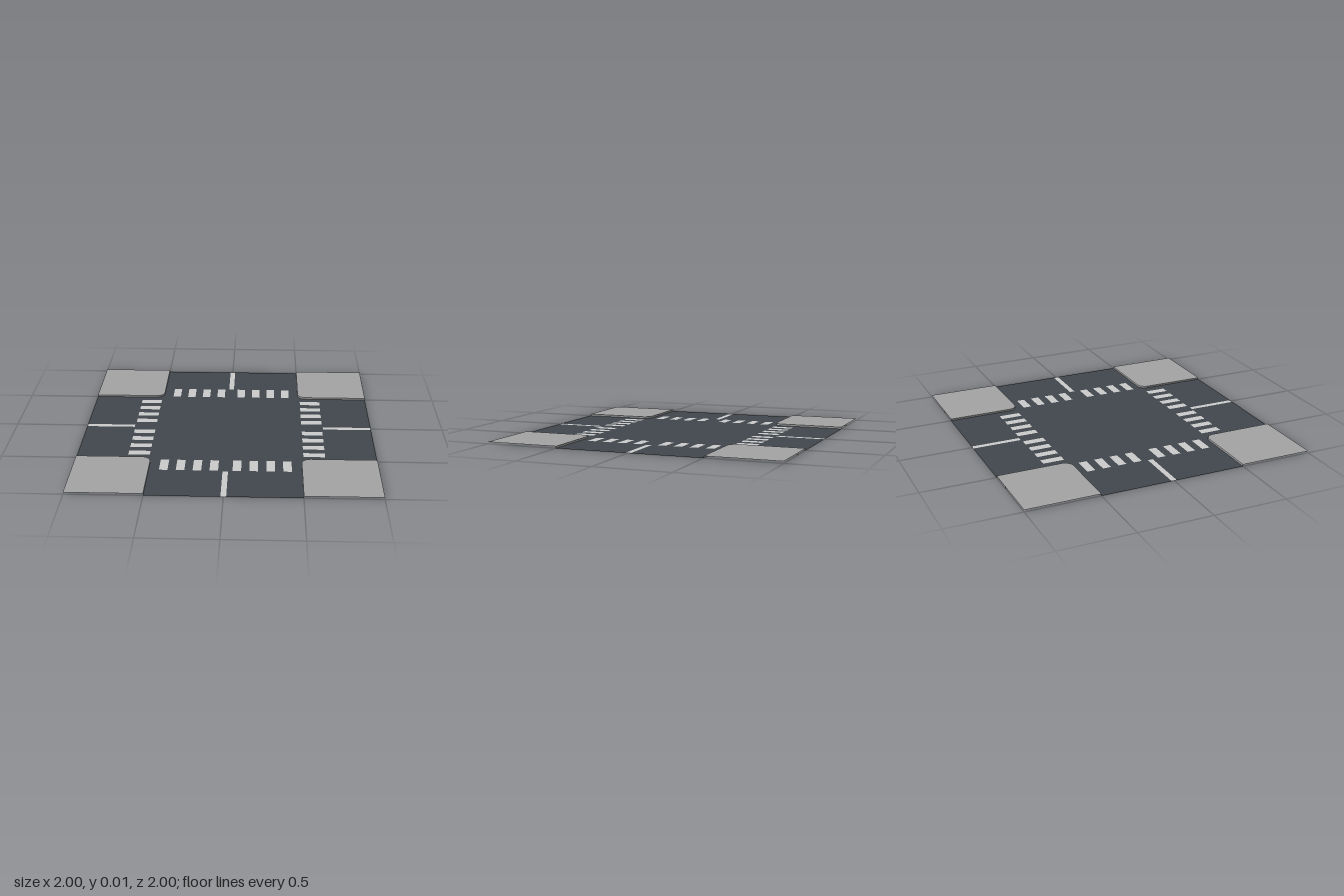
import * as THREE from 'three';

const HALF = 0.5;      // half width of the road
const R = 0.06;        // corner radius of the pavement
const H = 0.013;       // kerb height
const LINE = 0.018;    // half width of the centre lines
const STOP = 0.664;    // where the centre lines begin

const material = (color) => new THREE.MeshStandardMaterial({ color, side: THREE.DoubleSide });

// Pavement edge in one quadrant, from the end of one arm to the end of the next
function kerbPoints() {
  const points = [new THREE.Vector2(HALF, 1)];
  const segments = 8;
  for (let i = 0; i <= segments; i++) {
    const a = Math.PI + (i / segments) * Math.PI / 2;
    points.push(new THREE.Vector2(HALF + R + R * Math.cos(a), HALF + R + R * Math.sin(a)));
  }
  points.push(new THREE.Vector2(1, HALF));
  return points;
}

function flat(points, y) {
  return new THREE.ShapeGeometry(new THREE.Shape(points)).rotateX(-Math.PI / 2).translate(0, y, 0);
}

function kerbGeometry(points) {
  const n = points.length;
  const geometry = new THREE.PlaneGeometry(1, H, n - 1, 1);
  const pos = geometry.attributes.position;
  for (let i = 0; i < pos.count; i++) {
    const p = points[i % n];
    pos.setXYZ(i, p.x, i < n ? H : 0, -p.y);
  }
  geometry.computeVertexNormals();
  return geometry;
}

export function createModel() {
  const model = new THREE.Group();
  model.name = 'roadCrossing';
  const asphalt = material(0x40474c);
  const paving = material(0xa4a4a4);
  const paint = material(0xcccccc);
  const add = (parent, name, geometry, mat) => {
    const mesh = new THREE.Mesh(geometry, mat);
    mesh.name = name;
    parent.add(mesh);
    return mesh;
  };

  // Cross-shaped road with slots for the centre lines
  const edge = kerbPoints();
  const quadrant = [
    new THREE.Vector2(1, LINE), ...[...edge].reverse(),
    new THREE.Vector2(LINE, 1), new THREE.Vector2(LINE, STOP), new THREE.Vector2(-LINE, STOP),
  ];
  const outline = [];
  for (let k = 0; k < 4; k++) {
    for (const p of quadrant) outline.push(p.clone().rotateAround(new THREE.Vector2(), k * Math.PI / 2));
  }
  add(model, 'road', flat(outline, 0), asphalt);

  // Shared geometries for the four arms
  const top = flat([...edge, new THREE.Vector2(1, 1)], H);
  const kerb = kerbGeometry(edge);
  const line = new THREE.PlaneGeometry(2 * LINE, 1 - STOP).rotateX(-Math.PI / 2);
  const stripe = new THREE.PlaneGeometry(0.056, 0.145).rotateX(-Math.PI / 2);

  for (let k = 0; k < 4; k++) {
    const arm = new THREE.Group();
    arm.name = 'arm';
    arm.rotation.y = k * Math.PI / 2;
    model.add(arm);

    // Raised corner pavement, open underneath
    add(arm, 'pavement', top, paving);
    add(arm, 'kerb', kerb, paving);

    // Centre line and zebra crossing
    add(arm, 'centreLine', line, paint).position.z = -(1 + STOP) / 2;
    const first = k % 2 ? 0.088 : 0.075;
    for (let i = 0; i < 4; i++) {
      for (const side of [-1, 1]) {
        add(arm, 'crossingStripe', stripe, paint).position.set(side * (first + 0.11 * i), 0.001, -0.586);
      }
    }
  }

  // Thin upright seams below the pavements
  const seam = new THREE.PlaneGeometry(1 - STOP, H).rotateY(Math.PI / 2);
  for (const x of [-1, 1]) {
    for (const z of [-1, 1]) {
      add(model, 'pavementSeam', seam, paving).position.set(x * STOP, H / 2, z * (1 + STOP) / 2);
    }
  }
  return model;
}
